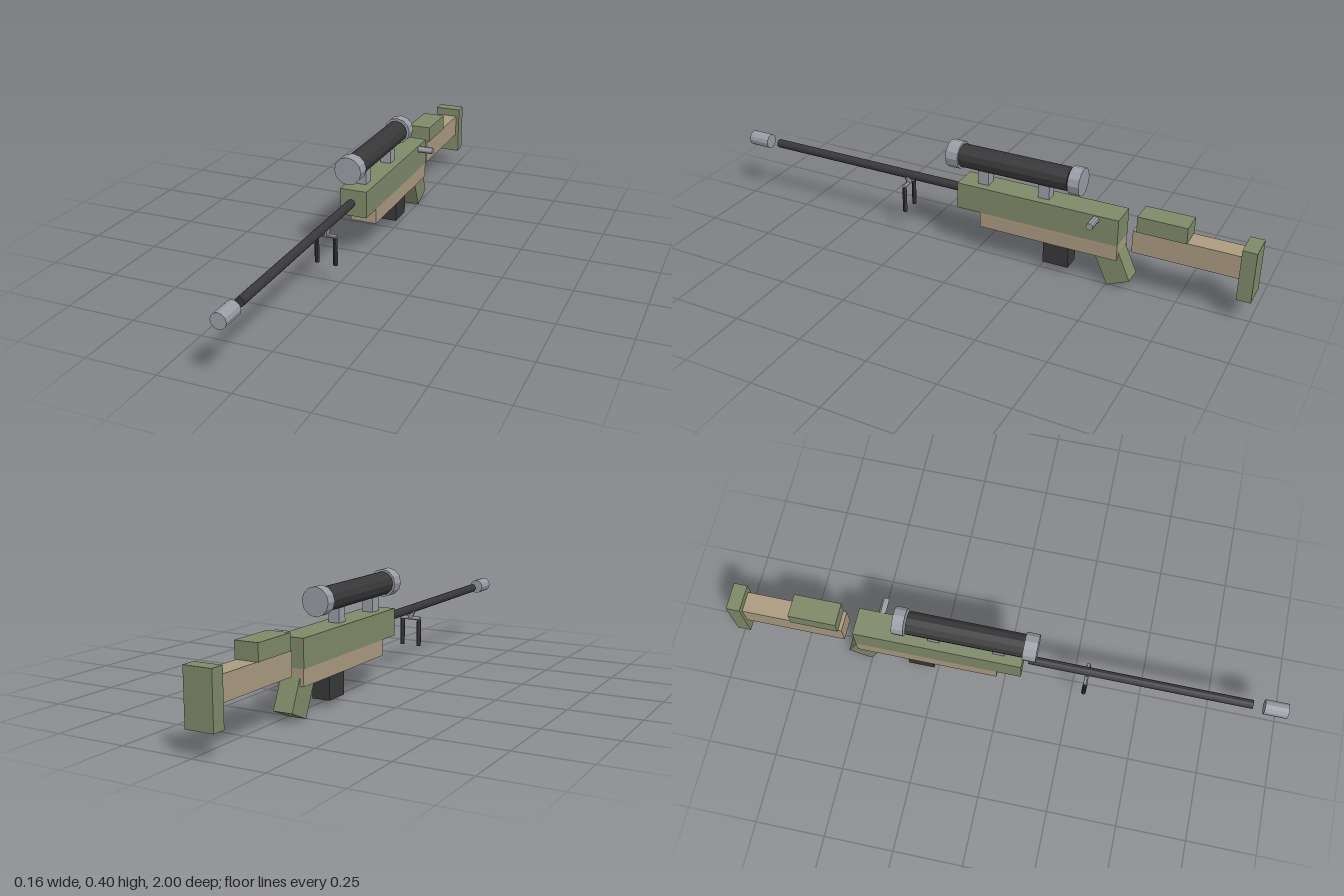
import * as THREE from 'three';

const CX = -0.03; // centre line; the bolt handle sticks out to +x
const mat = (color) => new THREE.MeshStandardMaterial({ color, flatShading: true });

export function createModel() {
  const group = new THREE.Group();
  const green = mat(0x7f8a69), tan = mat(0xab9b80), steel = mat(0x9a9da5), black = mat(0x38383a);

  function add(name, geometry, material, x, y, z) {
    const mesh = new THREE.Mesh(geometry, material);
    mesh.name = name;
    mesh.position.set(x, y, z);
    group.add(mesh);
    return mesh;
  }
  // Box on the centre line, given by its width and its y and z ranges
  const block = (name, material, w, y0, y1, z0, z1) =>
    add(name, new THREE.BoxGeometry(w, y1 - y0, z1 - z0), material, CX, (y0 + y1) / 2, (z0 + z1) / 2);
  // Twelve-sided rod running along z
  const rod = (name, material, r, y, z0, z1) =>
    add(name, new THREE.CylinderGeometry(r, r, z1 - z0, 12).rotateX(Math.PI / 2), material, CX, y, (z0 + z1) / 2);

  // Body
  block('receiver', green, 0.1, 0.172, 0.27, -0.538, 0.067);
  block('lowerBody', tan, 0.098, 0.115, 0.172, -0.538, -0.022);
  block('magazine', black, 0.065, 0.027, 0.12, -0.357, -0.262);
  const grip = add('grip', new THREE.BoxGeometry(0.07, 0.15, 0.088), green, CX, 0.089, -0.514);
  grip.rotation.x = 0.42;

  // Stock
  block('stock', tan, 0.075, 0.157, 0.24, -0.955, -0.585);
  block('cheekRest', green, 0.085, 0.24, 0.298, -0.77, -0.598);
  block('buttPad', green, 0.1, 0.085, 0.27, -1, -0.951);

  // Barrel and muzzle
  rod('barrel', black, 0.016, 0.228, 0.086, 0.878);
  rod('muzzle', steel, 0.027, 0.228, 0.917, 1);

  // Scope on two mounts
  rod('scopeTube', black, 0.042, 0.357, -0.342, 0.07);
  rod('scopeFrontRing', steel, 0.05, 0.357, 0.068, 0.115);
  rod('scopeRearRing', steel, 0.05, 0.357, -0.389, -0.348);
  for (const z of [-0.02, -0.252]) block('scopeMount', steel, 0.04, 0.268, 0.325, z - 0.021, z + 0.021);

  // Bolt handle
  add('boltHandle', new THREE.CylinderGeometry(0.0125, 0.0125, 0.07, 10).rotateZ(Math.PI / 2),
    steel, 0.043, 0.256, -0.457);

  // Bipod: flared neck, crossbar and two legs
  const zb = 0.296;
  add('bipodNeck', new THREE.CylinderGeometry(0.018, 0.009, 0.028, 10), steel, CX, 0.208, zb);
  add('bipodCrossbar', new THREE.CylinderGeometry(0.007, 0.007, 0.08, 10).rotateZ(Math.PI / 2),
    steel, CX, 0.194, zb);
  for (const s of [-1, 1])
    add('bipodLeg', new THREE.CylinderGeometry(0.008, 0.008, 0.101, 10), black, CX + s * 0.034, 0.1405, zb);

  return group;
}
